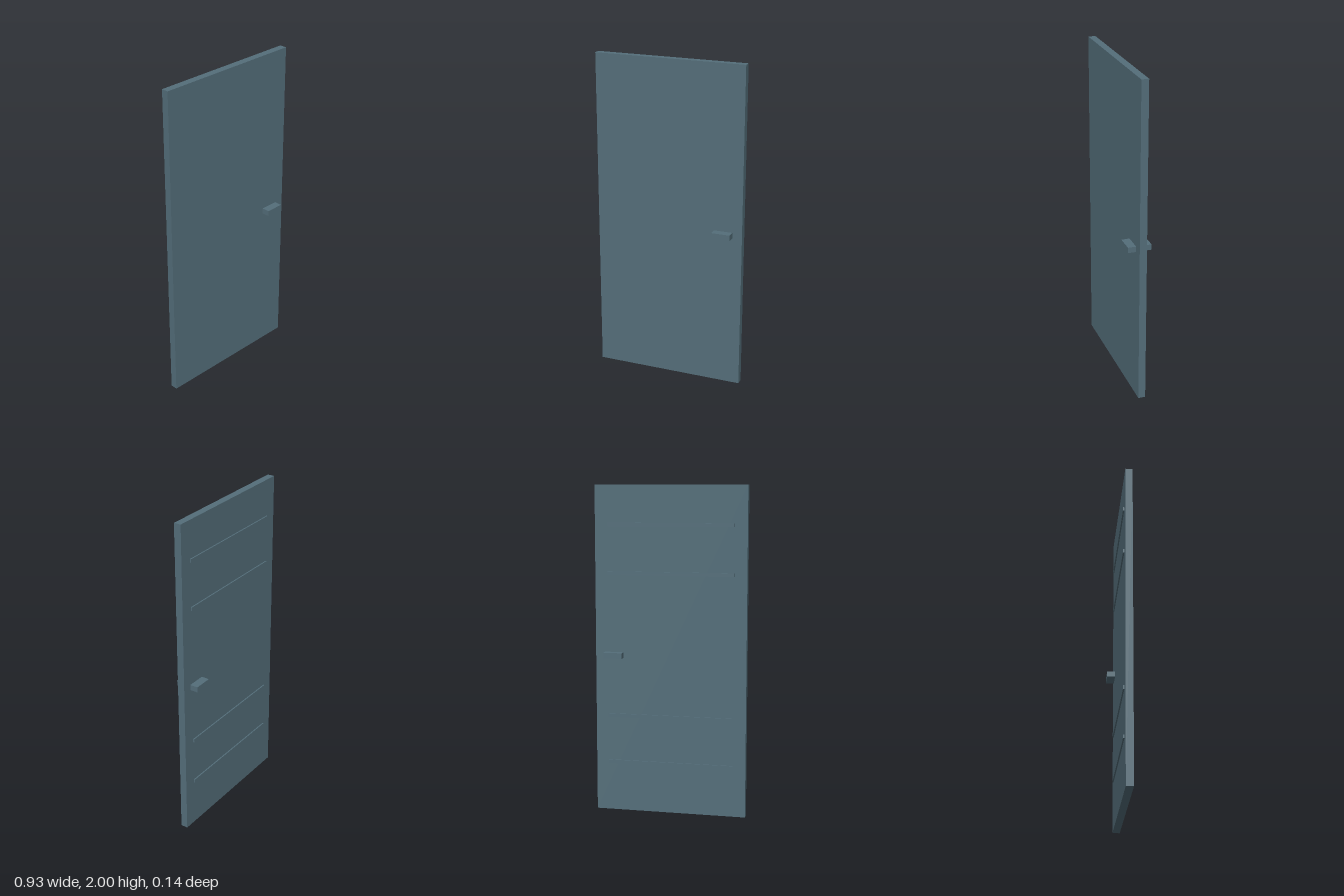
import * as THREE from 'three';

export function createModel() {
  const door = new THREE.Group();
  door.name = 'door';

  const slatePaint = new THREE.MeshStandardMaterial({ color: 0x546e7a });
  slatePaint.name = 'slatePaint';

  function box(name, w, h, d, x, y, z) {
    const mesh = new THREE.Mesh(new THREE.BoxGeometry(w, h, d), slatePaint);
    mesh.name = name;
    mesh.position.set(x, y, z);
    door.add(mesh);
  }

  // Door leaf
  box('doorLeaf', 0.93, 2, 0.044, 0, 1, 0);

  // Handle block on each face
  for (const side of [1, -1]) {
    box(side > 0 ? 'frontHandle' : 'backHandle', 0.115, 0.034, 0.05, 0.348, 0.974, side * 0.047);
  }

  // Raised horizontal strips on the back face
  [0.306, 0.598, 1.472, 1.764].forEach((y, i) => {
    box(`backStrip${i + 1}`, 0.775, 0.022, 0.008, 0, y, -0.026);
  });

  return door;
}
